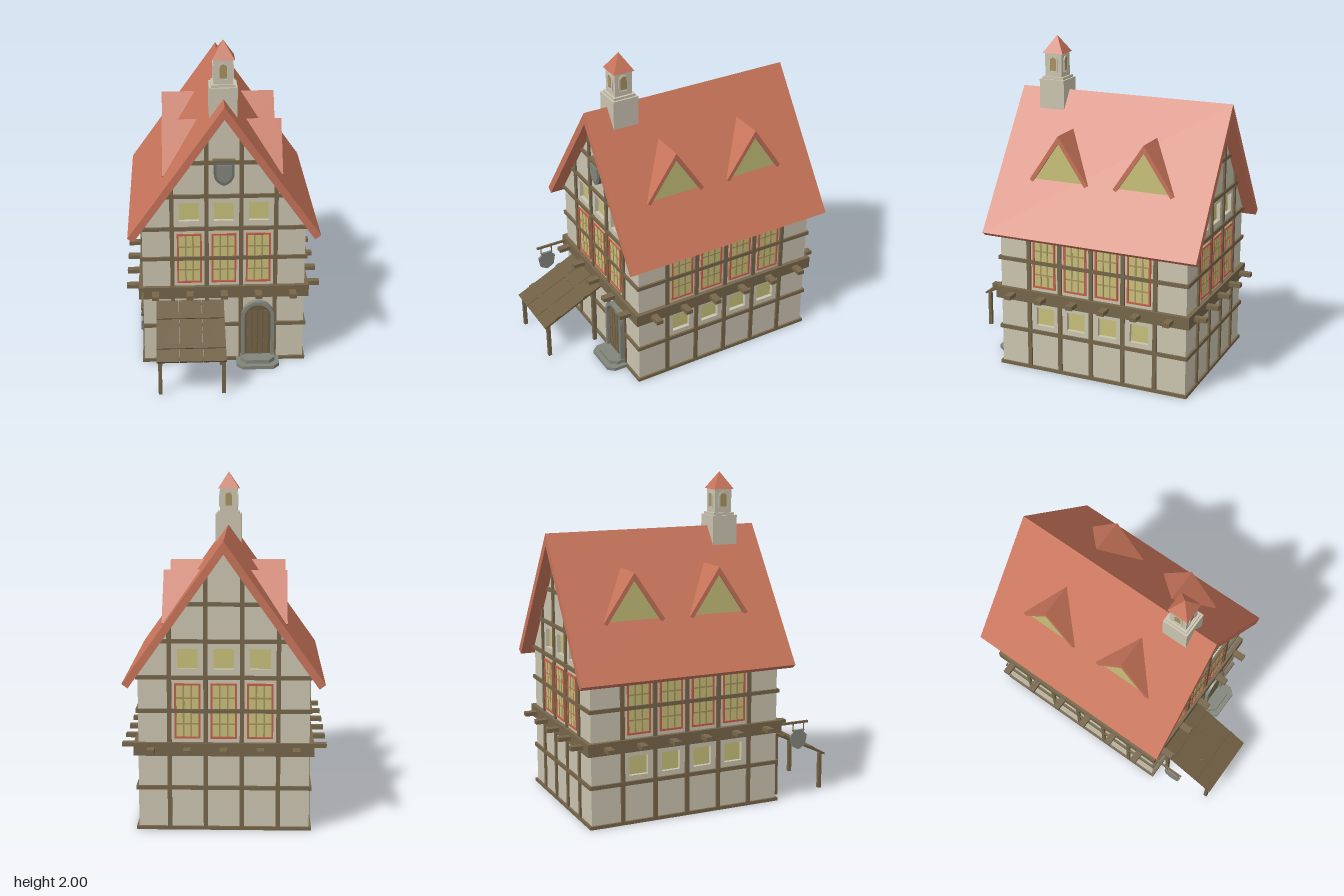
import * as THREE from 'three';

const colour = (name, hex, both) => {
  const m = new THREE.MeshStandardMaterial({ color: hex });
  m.name = name;
  if (both) m.side = THREE.DoubleSide;
  return m;
};
const plaster = colour('plaster', 0xcbc4b0);
const roofTile = colour('roof tile', 0xc8745a);
const timber = colour('timber', 0x76664a);
const plank = colour('plank', 0x6d5c40);
const glass = colour('glass', 0xc8c07a, true);
const stone = colour('stone', 0x82857b);
const darkStone = colour('dark stone', 0x6c706a);
const redPaint = colour('red paint', 0xc65f4a);
const lattice = colour('lattice', 0xa8915f);

const CZ = -0.155, HX = 0.487, HZ = 0.605; // body centre and half sizes
const SLOPE = 1.404, RIDGE = 1.67, INNER = 1.596;
const STEP = 0.206; // timber bay

function add(parent, name, geo, mat, x = 0, y = 0, z = 0) {
  const m = new THREE.Mesh(geo, mat);
  m.name = name;
  m.position.set(x, y, z);
  parent.add(m);
  return m;
}
const box = (p, name, mat, w, h, d, x, y, z) => add(p, name, new THREE.BoxGeometry(w, h, d), mat, x, y, z);
const poly = pts => new THREE.Shape(pts.map(([x, y]) => new THREE.Vector2(x, y)));
const extrude = (shape, depth) => new THREE.ExtrudeGeometry(shape, { depth, bevelEnabled: false, curveSegments: 10 });
function group(parent, name) {
  const g = new THREE.Group();
  g.name = name;
  parent.add(g);
  return g;
}

// Outline of a doorway: straight sides with a round head
function arch(r, y0, spring) {
  const s = new THREE.Shape();
  s.moveTo(-r, y0);
  s.lineTo(r, y0);
  s.lineTo(r, spring);
  s.absarc(0, spring, r, 0, Math.PI, false);
  s.lineTo(-r, y0);
  return s;
}
function archFrame(r, t, y0, spring, depth) {
  const s = arch(r, y0, spring);
  s.holes.push(arch(r - t, y0 + 0.001, spring));
  return extrude(s, depth);
}

// Two sloping slabs meeting at a ridge, feet cut square
function chevron(apex, slope, w, v) {
  const n = 1 + slope * slope;
  const fx = w - v * slope / n, fy = apex - slope * w - v / n;
  return poly([[0, apex], [-w, apex - slope * w], [-fx, fy], [0, apex - v], [fx, fy], [w, apex - slope * w]]);
}

// Tall lattice window with a red frame
function tallWindow(parent, x) {
  const g = group(parent, 'tallWindow');
  g.position.set(x, 0.7, 0);
  const w = 0.148, h = 0.32, t = 0.011;
  box(g, 'windowGlass', glass, w, h, 0.006, 0, 0, 0.002);
  for (const s of [-1, 1]) {
    box(g, 'windowFrame', redPaint, t, h, 0.014, s * (w - t) / 2, 0, 0.005);
    box(g, 'windowFrame', redPaint, w, t, 0.014, 0, s * (h - t) / 2, 0.005);
    box(g, 'windowBar', lattice, 0.009, h - t, 0.007, s * 0.022, 0, 0.004);
  }
  for (const i of [-1, 0, 1]) box(g, 'windowBar', lattice, w - t, 0.009, 0.006, 0, i * 0.075, 0.004);
}

// One timbered wall facing local +z
function facade(parent, name, { half, outline, centres, posts, beams, smallY, postTop, stubs }) {
  const g = group(parent, name);
  const shape = poly(outline);
  const hw = 0.058;
  for (const c of centres) {
    shape.holes.push(new THREE.Path([[-1, -1], [-1, 1], [1, 1], [1, -1]].map(
      ([a, b]) => new THREE.Vector2(c + a * hw, smallY + b * hw))));
    box(g, 'smallWindowGlass', glass, 0.125, 0.125, 0.006, c, smallY, -0.026);
    tallWindow(g, c);
  }
  add(g, 'wall', extrude(shape, 0.035), plaster, 0, 0, -0.035);
  for (const x of posts) box(g, 'post', timber, 0.025, postTop(x), 0.022, x, postTop(x) / 2, 0.001);
  for (const y of beams) {
    const l = Math.min(half, (1.62 - y) / SLOPE);
    box(g, 'beam', timber, 2 * l, y < 0.1 ? 0.02 : 0.023, 0.023, 0, y, 0.0015);
  }
  // Joist ends poking out through the floor beam
  for (const x of stubs) box(g, 'joistEnd', timber, 0.042, 0.025, 0.13, x, 0.48, 0.036);
  return g;
}

function bellTower(parent) {
  const g = group(parent, 'bellTower');
  g.position.set(0, 0, 0.297);
  box(g, 'towerBase', plaster, 0.164, 0.19, 0.164, 0, 1.64, 0);
  box(g, 'towerLedge', plaster, 0.14, 0.016, 0.14, 0, 1.742, 0);
  box(g, 'towerShaft', plaster, 0.112, 0.147, 0.112, 0, 1.823, 0);
  const cap = new THREE.ConeGeometry(0.067 * Math.SQRT2, 0.105, 4, 1).toNonIndexed();
  cap.rotateY(Math.PI / 4);
  cap.computeVertexNormals();
  add(g, 'towerRoof', cap, roofTile, 0, 1.9475, 0);
  for (let i = 0; i < 4; i++) {
    const side = group(g, 'towerOpening');
    side.rotation.y = i * Math.PI / 2;
    add(side, 'openingPane', extrude(arch(0.024, 1.787, 1.848), 0.002), lattice, 0, 0, 0.0555);
    add(side, 'openingFrame', archFrame(0.031, 0.01, 1.78, 1.848, 0.006), plaster, 0, 0, 0.0555);
  }
}

function door(parent) {
  const g = group(parent, 'door');
  g.position.set(STEP, 0, 0.45);
  add(g, 'doorFrame', archFrame(0.1, 0.02, 0.04, 0.31, 0.035), stone);
  add(g, 'doorLeaf', extrude(arch(0.085, 0.04, 0.31), 0.016), plank);
  for (const x of [-0.05, -0.017, 0.017, 0.05]) box(g, 'doorStrip', timber, 0.027, 0.3, 0.004, x, 0.195, 0.017);
  box(g, 'doorHandle', darkStone, 0.008, 0.03, 0.012, -0.06, 0.2, 0.02);
  // Two steps with clipped corners
  [[0.13, 0.13, 0, 0.022], [0.105, 0.1, 0.022, 0.024]].forEach(([w, d, y, h]) => {
    const s = poly([[-w, 0], [-w, -d + 0.04], [-w + 0.035, -d], [w - 0.035, -d], [w, -d + 0.04], [w, 0]]);
    const geo = extrude(s, h);
    geo.rotateX(-Math.PI / 2);
    add(g, 'doorStep', geo, stone, 0, y, 0);
  });
}

function awning(parent) {
  const g = group(parent, 'awning');
  const top = group(g, 'awningRoof');
  top.position.set(-0.205, 0.32, 0.655);
  top.rotation.x = Math.atan2(0.19, 0.4);
  for (const i of [-1, 0, 1]) box(top, 'awningPlank', plank, 0.134, 0.012, 0.443, i * 0.137, 0, 0);
  for (const z of [-0.1, 0.115]) box(top, 'awningBatten', plank, 0.408, 0.01, 0.036, 0, 0.008, z);
  for (const x of [-0.39, -0.016]) {
    box(g, 'awningLeg', timber, 0.022, 0.23, 0.022, x, 0.115, 0.828);
    box(g, 'awningLeg', timber, 0.022, 0.385, 0.022, x, 0.1925, 0.507);
  }
}

function hangingSign(parent) {
  const g = group(parent, 'hangingSign');
  g.position.set(-0.49, 0, 0);
  box(g, 'signArm', timber, 0.012, 0.014, 0.22, 0, 0.482, 0.562);
  for (const z of [0.57, 0.645]) box(g, 'signHanger', timber, 0.006, 0.05, 0.006, 0, 0.455, z);
  const s = poly([[-0.042, 0.435], [-0.034, 0.42], [-0.058, 0.4], [-0.046, 0.335], [-0.02, 0.32], [0, 0.31],
    [0.02, 0.32], [0.046, 0.335], [0.058, 0.4], [0.034, 0.42], [0.042, 0.435]]);
  const geo = extrude(s, 0.014);
  geo.rotateY(Math.PI / 2);
  add(g, 'signBoard', geo, stone, -0.007, 0, 0.608);
}

function shield(parent) {
  const g = group(parent, 'shield');
  g.position.set(0, 1.25, 0.45);
  const outline = k => {
    const s = new THREE.Shape();
    s.moveTo(-0.06 * k, 0.07 * k);
    s.lineTo(-0.06 * k, -0.01 * k);
    s.quadraticCurveTo(-0.055 * k, -0.06 * k, 0, -0.078 * k);
    s.quadraticCurveTo(0.055 * k, -0.06 * k, 0.06 * k, -0.01 * k);
    s.lineTo(0.06 * k, 0.07 * k);
    return s;
  };
  add(g, 'shieldRim', extrude(outline(1), 0.025), darkStone);
  add(g, 'shieldFace', extrude(outline(0.74), 0.031), stone);
  box(g, 'shieldTop', timber, 0.13, 0.014, 0.034, 0, 0.076, 0.017);
}

function dormer(parent, z, side) {
  const g = group(parent, 'dormer');
  g.position.z = z;
  g.rotation.y = side * Math.PI / 2;
  const s = 1.477;
  add(g, 'dormerRoof', extrude(chevron(1.462, s, 0.193, 0.045), 0.22), roofTile, 0, 0, 0.14);
  add(g, 'dormerGlass', new THREE.ShapeGeometry(poly([[-0.17, 1.425 - s * 0.17], [0.17, 1.425 - s * 0.17], [0, 1.425]])),
    glass, 0, 0, 0.348);
}

export function createModel() {
  const root = new THREE.Group();
  root.name = 'timberHouse';

  // Gable walls, front and back
  const eave = INNER - SLOPE * HX;
  for (const s of [1, -1]) {
    const g = facade(root, s > 0 ? 'frontWall' : 'backWall', {
      half: HX + 0.012, outline: [[-HX, 0], [HX, 0], [HX, eave], [0, INNER], [-HX, eave]],
      centres: [-STEP, 0, STEP], posts: [-1.5, -0.5, 0.5, 1.5].map(i => i * STEP),
      beams: [0.01, 0.25, 0.7, 0.893, 1.1, 1.31], smallY: 0.998,
      postTop: x => INNER + 0.02 - SLOPE * Math.abs(x), stubs: [-2, -1, 0, 1, 2].map(i => i * STEP)
    });
    g.position.z = CZ + s * HZ;
    if (s < 0) g.rotation.y = Math.PI;
  }
  // Long side walls
  for (const s of [1, -1]) {
    const l = HZ - 0.002;
    const g = facade(root, s > 0 ? 'leftWall' : 'rightWall', {
      half: HZ + 0.012, outline: [[-l, 0], [l, 0], [l, eave], [-l, eave]],
      centres: [-1.5, -0.5, 0.5, 1.5].map(i => i * STEP), posts: [-2, -1, 0, 1, 2].map(i => i * STEP),
      beams: [0.01, 0.25, 0.7], smallY: 0.35,
      postTop: () => 0.885, stubs: [-2.5, -1.5, -0.5, 0.5, 1.5, 2.5].map(i => i * STEP)
    });
    g.position.set(s * HX, 0, CZ);
    g.rotation.y = s * Math.PI / 2;
  }
  box(root, 'floor', plaster, 2 * HX - 0.01, 0.02, 2 * HZ - 0.01, 0, 0.01, CZ);
  box(root, 'floorBeam', timber, 1.026, 0.075, 2 * HZ + 0.052, 0, 0.479, CZ).scale.set(1, 1, 1);

  // Roof with four dormers
  add(root, 'roof', extrude(chevron(RIDGE, SLOPE, 0.57, RIDGE - INNER), 1.37), roofTile, 0, 0, -0.84);
  for (const z of [0.12, -0.428]) for (const s of [1, -1]) dormer(root, z, s);

  bellTower(root);
  door(root);
  awning(root);
  hangingSign(root);
  shield(root);
  return root;
}
